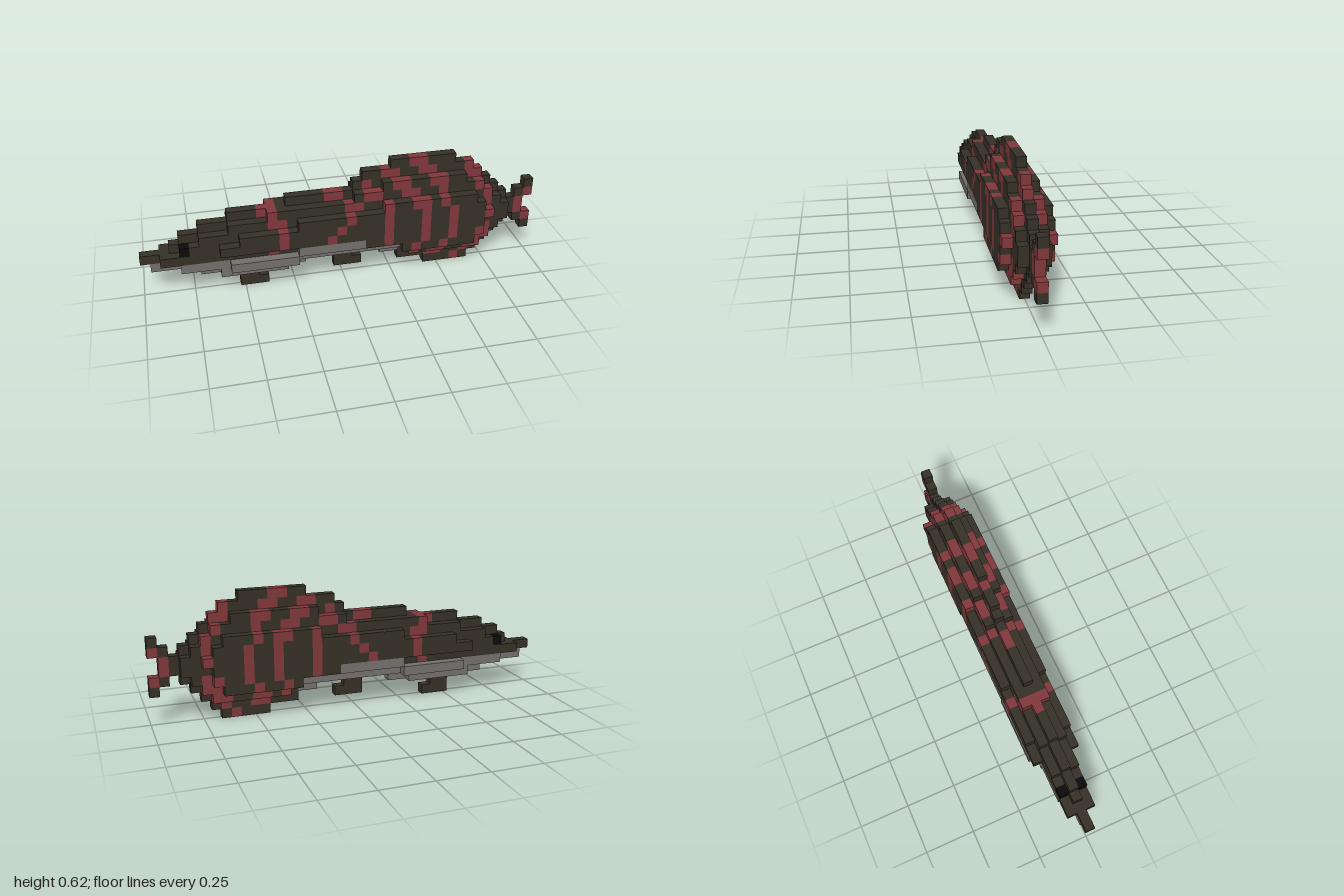
import * as THREE from 'three';

const U = 2 / 42; // one block; the body is 42 long, 13 high and 5 wide

const materials = {
  hide: new THREE.MeshStandardMaterial({ color: 0x363127 }),
  stripe: new THREE.MeshStandardMaterial({ color: 0x82383c }),
  belly: new THREE.MeshStandardMaterial({ color: 0x74706e }),
  eye: new THREE.MeshStandardMaterial({ color: 0x0b0b0d }),
};

// First and last block of each row, from the bottom row up, per slice
const coreRows = [
  [30, 34], [27, 35], [25, 36], [1, 37], [0, 38], [3, 39], [4, 39],
  [6, 38], [9, 37], [15, 36], [22, 35], [23, 34], [26, 32],
];
const flankRows = [
  null, null, [28, 35], [4, 36], [2, 37], [4, 38], [6, 38],
  [9, 37], [13, 36], [22, 35], [25, 33],
];
const sideRows = [
  null, null, null, [27, 34], [16, 35], [8, 35], [10, 36],
  [16, 35], [25, 34],
];

// Striped blocks in each row, from the bottom row up
const stripes = [
  [33], [30, 31, 34], [28, 30, 31, 34, 35], [28, 31, 35, 36],
  [13, 25, 29, 32, 35, 36], [14, 19, 25, 29, 32], [14, 20, 25, 29, 32, 36],
  [13, 14, 21, 25, 29, 32, 36], [12, 13, 21, 22, 25, 28, 29, 31, 36],
  [19, 20, 23, 24, 27, 28, 31, 35], [23, 26, 27, 30, 31, 34, 35],
  [25, 26, 29, 30, 34], [28, 29],
];

// Pale underside: first and last block by row
const pale = { 2: [6, 26], 3: [1, 26], 4: [16, 22] };

function block(name, kind, x0, x1, y0, y1, z) {
  const w = (x1 - x0 + 1) * U, h = (y1 - y0 + 1) * U;
  const mesh = new THREE.Mesh(new THREE.BoxGeometry(w, h, U), materials[kind]);
  mesh.name = name;
  mesh.position.set(-1 + x0 * U + w / 2, y0 * U + h / 2, z * U);
  return mesh;
}

function kindAt(x, y, z) {
  if (x === 4 && y === 5 && Math.abs(z) === 1) return 'eye';
  if (pale[y] && x >= pale[y][0] && x <= pale[y][1]) return 'belly';
  return stripes[y].includes(x) ? 'stripe' : 'hide';
}

// Split one row into runs of equal colour, a box for each
function addRow(group, x0, x1, y, z) {
  let start = x0;
  for (let x = x0; x <= x1; x++) {
    const kind = kindAt(x, y, z);
    if (x === x1 || kindAt(x + 1, y, z) !== kind) {
      group.add(block(kind, kind, start, x, y, y, z));
      start = x + 1;
    }
  }
}

function slice(name, rows, z) {
  const group = new THREE.Group();
  group.name = name;
  rows.forEach((r, y) => r && addRow(group, r[0], r[1], y, z));
  return group;
}

export function createModel() {
  const model = new THREE.Group();
  model.name = 'stripedFish';

  // Body in five slices
  const core = slice('bodyCore', coreRows, 0);
  addRow(core, 6, 16, 2, 0); // chest keel
  model.add(core);
  for (const s of [1, -1]) {
    const suffix = s > 0 ? 'Front' : 'Back';
    const flank = slice('flank' + suffix, flankRows, s);
    addRow(flank, 8, 14, 2, s);
    const side = slice('side' + suffix, sideRows, 2 * s);
    addRow(side, 9, 15, 3, 2 * s);
    model.add(flank, side);
  }

  // Small fins below the body
  for (const [x, y] of [[10, 0], [20, 1]]) {
    const fin = new THREE.Group();
    fin.name = 'lowerFin';
    fin.add(block('finStem', 'hide', x, x + 1, y + 1, y + 1, 0));
    fin.add(block('finTip', 'hide', x, x + 2, y, y, 0));
    model.add(fin);
  }

  // Forked tail
  const tail = new THREE.Group();
  tail.name = 'tailFin';
  tail.add(block('tailRoot', 'stripe', 40, 40, 5, 6, 0));
  for (const [near, far] of [[7, 8], [4, 3]]) {
    tail.add(block('tailFork', 'hide', 40, 40, near, near, 0));
    tail.add(block('tailStripe', 'stripe', 41, 41, near, near, 0));
    tail.add(block('tailTip', 'hide', 41, 41, far, far, 0));
  }
  model.add(tail);

  return model;
}
